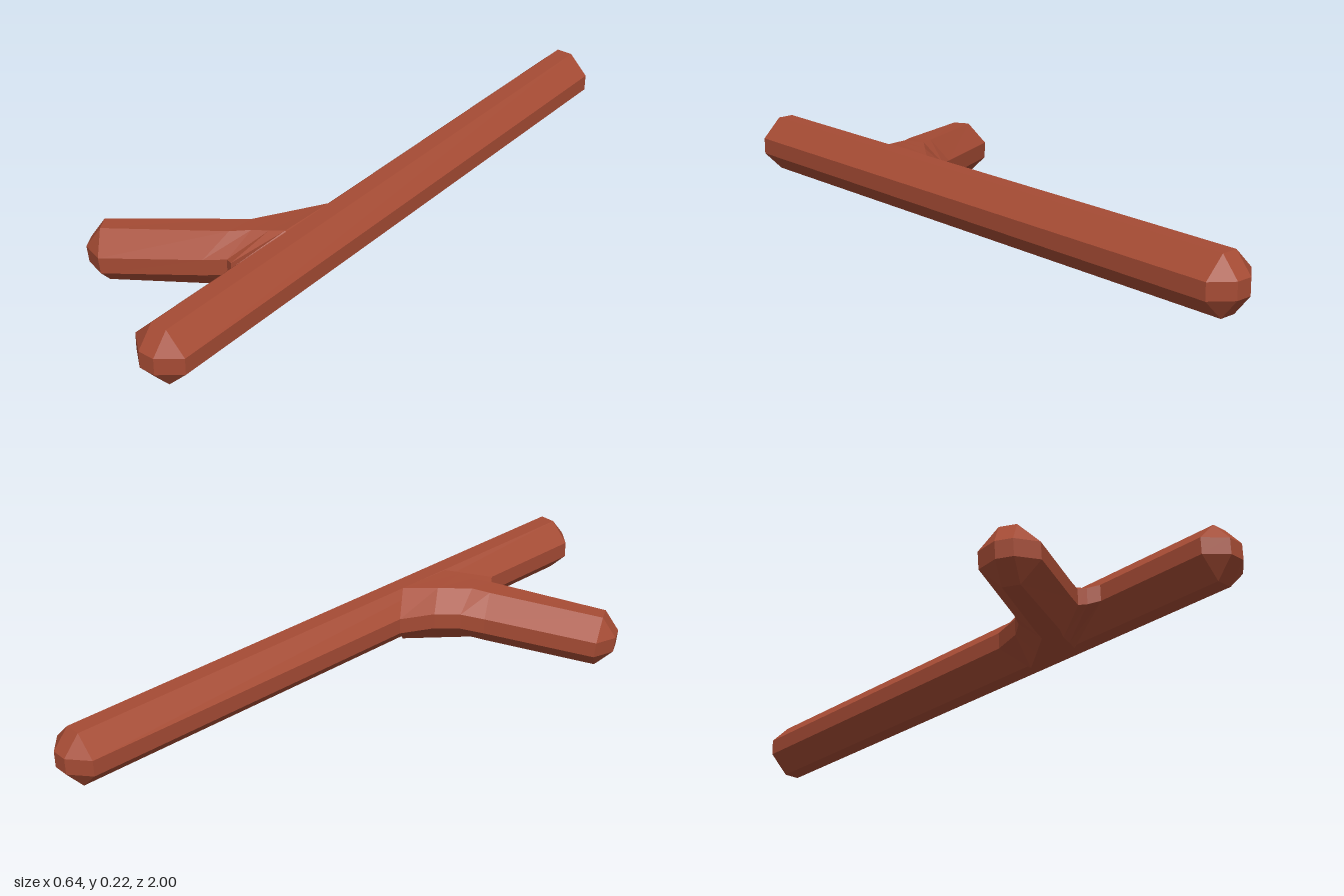
import * as THREE from 'three';

const bark = new THREE.MeshStandardMaterial({ color: 0xa54b34, flatShading: true, roughness: 0.9 });

// Skins a run of eight-point rings and closes the chosen ends
function loft(name, rings, capStart, capEnd) {
  const pos = [];
  const tri = (a, b, c) => pos.push(...a, ...b, ...c);
  for (let i = 0; i < rings.length - 1; i++) {
    for (let k = 0; k < 8; k++) {
      const n = (k + 1) % 8, p = rings[i], q = rings[i + 1];
      tri(p[k], p[n], q[k]);
      tri(p[n], q[n], q[k]);
    }
  }
  const first = rings[0], last = rings[rings.length - 1];
  for (let k = 1; k < 7; k++) {
    if (capStart) tri(first[0], first[k + 1], first[k]);
    if (capEnd) tri(last[0], last[k], last[k + 1]);
  }
  const geo = new THREE.BufferGeometry();
  geo.setAttribute('position', new THREE.Float32BufferAttribute(pos, 3));
  geo.computeVertexNormals();
  const mesh = new THREE.Mesh(geo, bark);
  mesh.name = name;
  return mesh;
}

// Chamfered square section (u across, v up); flat = half width of the narrow sides
const FLAT = 0.025, HALF = 0.085;
const section = (half) => [
  [-FLAT, half], [FLAT, half], [half, FLAT], [half, -FLAT],
  [FLAT, -half], [-FLAT, -half], [-half, -FLAT], [-half, FLAT],
];

// Straight main stick with bevelled tips
function mainStick() {
  const ends = [[-1, FLAT], [-0.95, HALF], [0.95, HALF], [1, FLAT]];
  const rings = ends.map(([z, half]) => section(half).map(([u, v]) => [0.235 - u, 0.14 + v, z]));
  return loft('mainStick', rings, true, true);
}

// Side branch, sagging slightly and flaring into the main stick
function sideBranch() {
  const along = new THREE.Vector3(0.86, 0.1, -0.5).normalize();
  const across = new THREE.Vector3(0.5, 0, 0.86).normalize();
  const up = new THREE.Vector3().crossVectors(across, along);
  const end = new THREE.Vector3(-0.26, 0.087, 0.65);
  const tipRing = (shift, half) => section(half).map(([u, v]) =>
    end.clone().addScaledVector(along, shift).addScaledVector(across, u).addScaledVector(up, v).toArray());

  // Plan points (x, z) of back side, two ridges and front side, then heights: top back, top front, side, bottom
  const joint = [
    [[0, 0.4], [0.03, 0.452], [0.07, 0.505], [0.04, 0.583], 0.204, 0.207, 0.116, 0.032],
    [[0.06, 0.355], [0.08, 0.425], [0.12, 0.47], [0.1, 0.55], 0.21, 0.214, 0.126, 0.037],
    [[0.11, 0.29], [0.145, 0.338], [0.165, 0.45], [0.125, 0.562], 0.218, 0.22, 0.132, 0.041],
    [[0.15, 0.18], [0.21, 0.25], [0.205, 0.43], [0.15, 0.59], 0.226, 0.226, 0.14, 0.045],
    [[0.2, 0.25], [0.25, 0.28], [0.25, 0.42], [0.2, 0.5], 0.19, 0.19, 0.14, 0.09],
  ].map(([back, ridgeB, ridgeF, front, topB, topF, side, low]) => {
    const at = ([x, z], y) => [x, y, z];
    return [
      at(ridgeB, topB), at(ridgeF, topF), at(front, side + FLAT), at(front, side - FLAT),
      at(ridgeF, low), at(ridgeB, low), at(back, side - FLAT), at(back, side + FLAT),
    ];
  });
  return loft('sideBranch', [tipRing(-0.05, FLAT), tipRing(0, HALF), ...joint], true, true);
}

export function createModel() {
  const group = new THREE.Group();
  group.name = 'forkedStick';
  group.add(mainStick(), sideBranch());
  return group;
}
